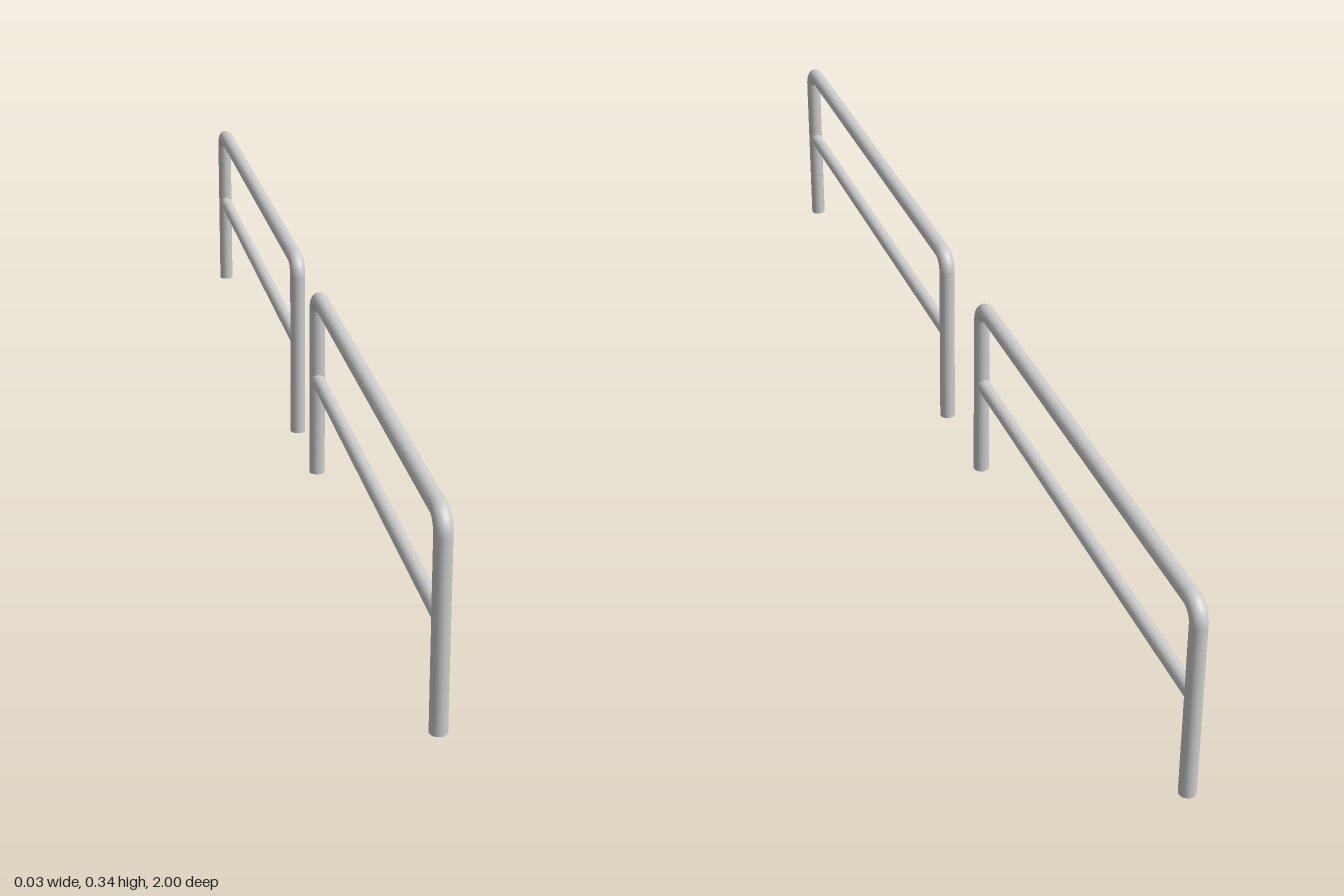
import * as THREE from 'three';

const R = 0.0134;      // main tube radius
const RAIL_R = 0.0115; // lower rail radius
const BEND = 0.027;    // bend radius at the tube centre
const TOP = 0.338 - R; // centre height of the top rail
const NEAR = 0.094, FAR = 1 - R; // post centres along z
const MID = (NEAR + FAR) / 2, HALF = (FAR - NEAR) / 2;

export function createModel() {
  const model = new THREE.Group();
  const material = new THREE.MeshStandardMaterial({ color: 0xcccccc });

  const add = (parent, name, geometry, y, z) => {
    const mesh = new THREE.Mesh(geometry, material);
    mesh.name = name;
    mesh.position.set(0, y, z);
    parent.add(mesh);
  };

  // Straight tube lying along z
  const bar = (radius, length, open) =>
    new THREE.CylinderGeometry(radius, radius, length, 24, 1, open).rotateX(Math.PI / 2);

  function createBarrier() {
    const barrier = new THREE.Group();
    const postHeight = TOP - BEND;

    for (const side of [-1, 1]) {
      // Upright post
      add(barrier, 'post', new THREE.CylinderGeometry(R, R, postHeight, 24), postHeight / 2, side * HALF);
      // Quarter bend joining the post to the top rail
      const bend = new THREE.TorusGeometry(BEND, R, 24, 10, Math.PI / 2)
        .rotateY(-side * Math.PI / 2);
      add(barrier, 'bend', bend, postHeight, side * (HALF - BEND));
    }

    // Top and lower rails
    add(barrier, 'topRail', bar(R, 2 * (HALF - BEND), true), TOP, 0);
    add(barrier, 'lowerRail', bar(RAIL_R, 2 * HALF, false), 0.174, 0);
    return barrier;
  }

  // Two barriers in line
  for (const side of [1, -1]) {
    const barrier = createBarrier();
    barrier.name = side > 0 ? 'frontBarrier' : 'backBarrier';
    barrier.position.z = side * MID;
    model.add(barrier);
  }
  return model;
}
